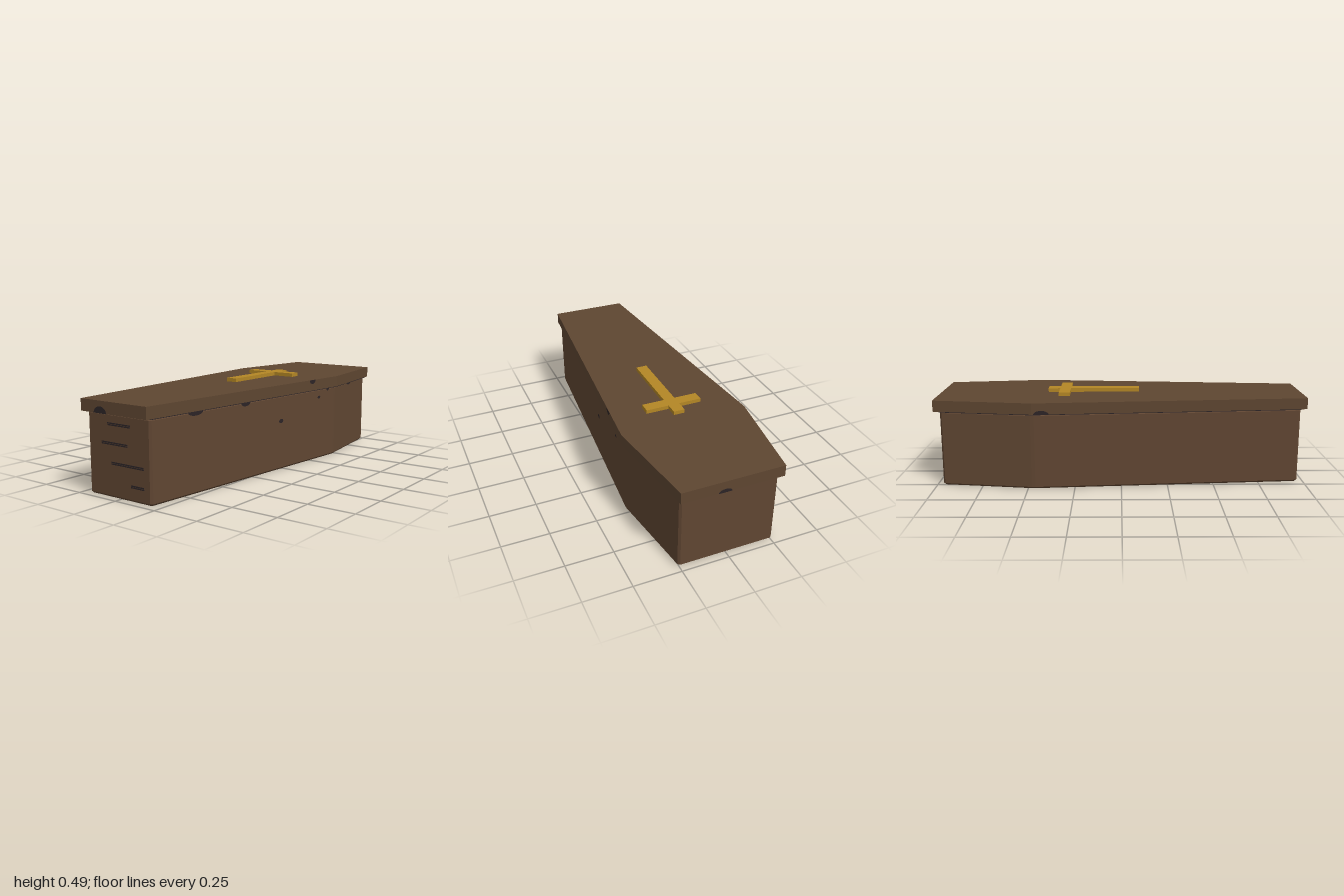
import * as THREE from 'three';

function material(name, color) {
  const m = new THREE.MeshStandardMaterial({ color });
  m.name = name;
  return m;
}
const lidWood = material('lid wood', 0x5e4631);
const boxWood = material('box wood', 0x604632);
const gold = material('old gold', 0xb48725);
const dark = material('dark grain', 0x2c2426);

// Plan outline mirrored from its +x half, given as [x, z] points.
function mirrored(half) {
  const left = half.map(([x, z]) => new THREE.Vector2(x, -z));
  const right = half.map(([x, z]) => new THREE.Vector2(-x, -z)).reverse();
  return [...left, ...right];
}

// Cut every corner of an outline by a small distance.
function chamfer(points, cut) {
  const n = points.length;
  return points.flatMap((p, i) =>
    [points[(i + n - 1) % n], points[(i + 1) % n]].map((q) =>
      p.clone().add(q.clone().sub(p).setLength(cut))));
}

// Extrude a plan outline upwards from y0 to y1.
function slab(name, points, y0, y1, mat, bevel = 0) {
  const geometry = new THREE.ExtrudeGeometry(new THREE.Shape(points), {
    depth: y1 - y0 - 2 * bevel,
    bevelEnabled: bevel > 0,
    bevelThickness: bevel,
    bevelSize: bevel,
    bevelOffset: -bevel,
    bevelSegments: 1,
  });
  geometry.rotateX(-Math.PI / 2);
  geometry.translate(0, y0 + bevel, 0);
  const mesh = new THREE.Mesh(geometry, mat);
  mesh.name = name;
  return mesh;
}

// Flat dark knot: a full ellipse, or only its upper or lower half.
function knot(x, y, z, turn, rx, ry, half = 'full') {
  const start = half === 'lower' ? Math.PI : 0;
  const sweep = half === 'full' ? 2 * Math.PI : Math.PI;
  const mesh = new THREE.Mesh(new THREE.CircleGeometry(1, 16, start, sweep), dark);
  mesh.name = 'knot';
  mesh.scale.set(rx, ry, 1);
  mesh.position.set(x, y, z);
  mesh.rotation.y = turn;
  return mesh;
}

// x of the long side and of the shoulder at a given z, and their directions
const SIDE = Math.PI / 2 - 0.085;
const SHOULDER = Math.PI / 2 + 0.144;
const boxX = (z) => 0.329 - (z + 0.47) * (z > -0.47 ? 0.0849 : -0.145);
const lidX = (z) => 0.345 - (z + 0.47) * 0.0878;

export function createModel() {
  const group = new THREE.Group();
  group.name = 'coffin';

  // Six-sided box with softened edges
  const boxPlan = mirrored([[0.205, 0.967], [0.327, -0.47], [0.255, -0.967]]);
  group.add(slab('box', chamfer(boxPlan, 0.01), 0, 0.41, boxWood, 0.01));

  // Overhanging lid
  const lidPlan = mirrored([[0.214, 1], [0.343, -0.47], [0.268, -1]]);
  group.add(slab('lid', lidPlan, 0.41, 0.47, lidWood));

  // Dark seam under the long edges of the lid
  const seamPlan = mirrored([[0.214, 0.967], [0.34, -0.47], [0.27, -0.967]]);
  group.add(slab('seam', seamPlan, 0.406, 0.41, dark));

  // Raised cross on the lid
  const crossPlan = mirrored([
    [0.03, 0.1], [0.03, -0.28], [0.153, -0.28],
    [0.153, -0.34], [0.03, -0.34], [0.03, -0.405],
  ]);
  group.add(slab('cross', crossPlan, 0.47, 0.49, gold));

  // Paired grain lines on the foot end: [x0, x1, y]
  for (const [x0, x1, y] of [
    [-0.07, 0.077, 0.358], [-0.112, 0.058, 0.265],
    [-0.05, 0.159, 0.17], [0.077, 0.159, 0.075],
  ]) {
    for (const dy of [-0.004, 0.004]) {
      const line = new THREE.Mesh(new THREE.BoxGeometry(x1 - x0, 0.006, 0.004), dark);
      line.name = 'grainLine';
      line.position.set((x0 + x1) / 2, y + dy, 0.967);
      group.add(line);
    }
  }

  // Knots along the left side of the box: [z, y, rx, ry, half]
  for (const [z, y, rx, ry, half] of [
    [0.68, 0.405, 0.05, 0.018, 'lower'], [0.32, 0.405, 0.035, 0.018, 'lower'],
    [-0.4, 0.405, 0.012, 0.015, 'lower'], [-0.7, 0.405, 0.025, 0.013, 'lower'],
    [0.03, 0.27, 0.018, 0.012, 'full'], [-0.315, 0.362, 0.013, 0.008, 'full'],
  ]) {
    group.add(knot(boxX(z), y, z, z > -0.47 ? SIDE : SHOULDER, rx, ry, half));
  }

  // Knots on the edges of the lid
  group.add(
    knot(-0.082, 0.41, 1.002, 0, 0.042, 0.033, 'upper'),
    knot(0.045, 0.41, -1.002, Math.PI, 0.035, 0.02, 'upper'),
    knot(lidX(-0.23), 0.47, -0.23, SIDE, 0.028, 0.022, 'lower'),
    knot(-lidX(-0.42), 0.41, -0.42, -SIDE, 0.04, 0.02, 'upper'),
  );

  // Knot on the underside
  const under = knot(-0.09, -0.001, -0.02, 0, 0.02, 0.025);
  under.rotation.x = Math.PI / 2;
  group.add(under);

  return group;
}
